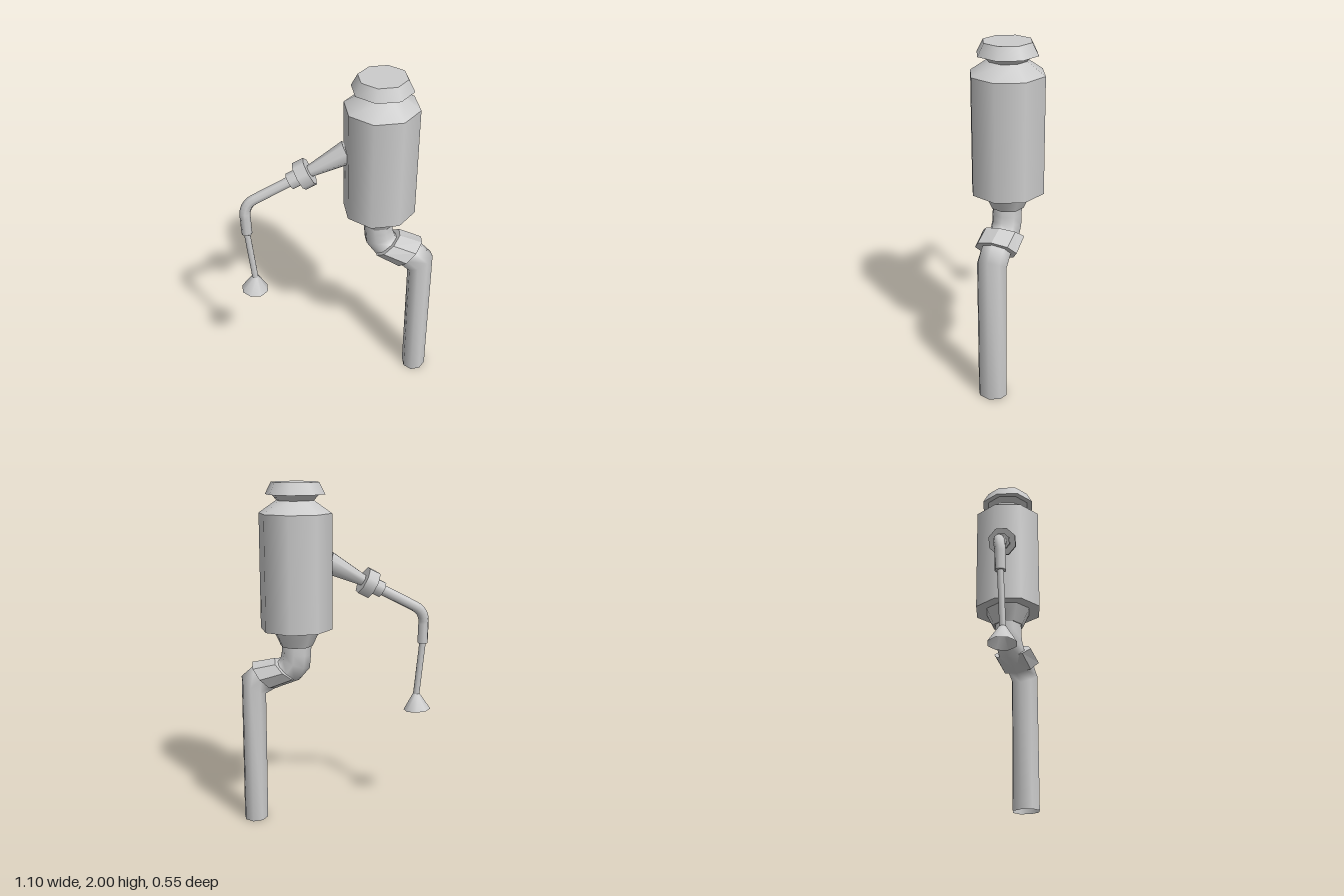
import * as THREE from 'three';

const SIDES = 8;
const material = new THREE.MeshStandardMaterial({ color: 0xcccccc, side: THREE.DoubleSide });

function addMesh(parent, name, geometry) {
  const mesh = new THREE.Mesh(geometry, material);
  mesh.name = name;
  parent.add(mesh);
  return mesh;
}

// Tapered eight-sided cylinder running from point a (radius ra) to point b (radius rb)
function addTaper(parent, name, a, b, ra, rb, open = false) {
  const dir = b.clone().sub(a);
  const geometry = new THREE.CylinderGeometry(rb, ra, dir.length(), SIDES, 1, open);
  const mesh = addMesh(parent, name, geometry);
  mesh.position.copy(a).add(b).multiplyScalar(0.5);
  mesh.quaternion.setFromUnitVectors(new THREE.Vector3(0, 1, 0), dir.normalize());
  return mesh;
}

// Open pipe through rings [x, y, ux, uy, rz]: centre, in-plane half width, depth radius
function ringPipe(rings, z) {
  const positions = [], index = [];
  rings.forEach(([x, y, ux, uy, rz], i) => {
    for (let j = 0; j < SIDES; j++) {
      const t = (j / SIDES) * Math.PI * 2;
      positions.push(x + ux * Math.cos(t), y + uy * Math.cos(t), z + rz * Math.sin(t));
      if (i === 0) continue;
      const k = (j + 1) % SIDES;
      const a = (i - 1) * SIDES + j, b = (i - 1) * SIDES + k;
      const c = i * SIDES + j, d = i * SIDES + k;
      index.push(a, b, c, b, d, c);
    }
  });
  const geometry = new THREE.BufferGeometry();
  geometry.setAttribute('position', new THREE.Float32BufferAttribute(positions, 3));
  geometry.setIndex(index);
  geometry.computeVertexNormals();
  return geometry;
}

export function createModel() {
  const model = new THREE.Group();
  model.name = 'pipeAndCanister';

  // Canister: stacked tapers [name, bottom y, top y, bottom radius, top radius]
  const canister = new THREE.Group();
  canister.name = 'canister';
  canister.position.set(0.213, 0, -0.068);
  model.add(canister);
  const stack = [
    ['outletFunnel', 1.075, 1.175, 0.093, 0.14],
    ['canisterBody', 1.175, 1.83, 0.208, 0.208],
    ['shoulder', 1.83, 1.9, 0.208, 0.107],
    ['neck', 1.9, 1.933, 0.107, 0.135],
    ['lid', 1.933, 2, 0.17, 0.135],
  ];
  for (const [name, y0, y1, r0, r1] of stack) {
    addTaper(canister, name, new THREE.Vector3(0, y0, 0), new THREE.Vector3(0, y1, 0), r0, r1);
  }

  // Drain pipe: S-bend, then the long open leg
  addMesh(model, 'drainPipe', ringPipe([
    [0.212, 1.08, 0.085, 0, 0.085],
    [0.215, 1.03, 0.085, 0.008, 0.085],
    [0.222, 0.975, 0.085, 0.03, 0.085],
    [0.26, 0.925, 0.06, 0.055, 0.085],
    [0.408, 0.878, 0.068, 0.062, 0.085],
    [0.471, 0.83, 0.072, 0.05, 0.085],
    [0.473, 0, 0.072, 0, 0.085],
  ], -0.066));

  // Slanted collar around the bend, with closed ends
  addMesh(model, 'pipeCollar', ringPipe([
    [0.275, 0.934, 0.001, 0.001, 0.001],
    [0.275, 0.934, 0.069, 0.061, 0.12],
    [0.408, 0.891, 0.068, 0.077, 0.12],
    [0.408, 0.891, 0.001, 0.001, 0.001],
  ], -0.066).toNonIndexed()).geometry.computeVertexNormals();

  // Arm: everything up to the elbow lies on one sloping line
  const arm = new THREE.Group();
  arm.name = 'arm';
  model.add(arm);
  const onArm = (x) =>
    new THREE.Vector3(x, 1.43 + 0.56 * (x + 0.18), 0.065 - 0.36 * (x + 0.18));
  addTaper(arm, 'armFlare', onArm(0.04), onArm(-0.16), 0.068, 0.033);
  addTaper(arm, 'armCollar', onArm(-0.155), onArm(-0.212), 0.083, 0.083);
  addTaper(arm, 'armSleeve', onArm(-0.2), onArm(-0.262), 0.048, 0.048);

  // Elbow tube
  const start = onArm(-0.2), bendIn = onArm(-0.45);
  const corner = onArm(-0.505);
  const bendOut = new THREE.Vector3(-0.502, 1.18, 0.192);
  const end = new THREE.Vector3(-0.499, 1.055, 0.192);
  const path = new THREE.CurvePath();
  path.add(new THREE.LineCurve3(start, bendIn));
  path.add(new THREE.QuadraticBezierCurve3(bendIn, corner, bendOut));
  path.add(new THREE.LineCurve3(bendOut, end));
  addMesh(arm, 'armTube', new THREE.TubeGeometry(path, 24, 0.031, SIDES, false));
  addTaper(arm, 'tubeEnd', end.clone().add(new THREE.Vector3(0, 0.004, 0)), end, 0.031, 0.031);

  // Thin rod with an open cup
  const rodFoot = new THREE.Vector3(-0.468, 0.73, 0.192);
  addTaper(arm, 'rod', end, rodFoot, 0.019, 0.019);
  addTaper(arm, 'cup', new THREE.Vector3(-0.475, 0.642, 0.192),
    new THREE.Vector3(-0.468, 0.74, 0.192), 0.081, 0.02, true);

  return model;
}
